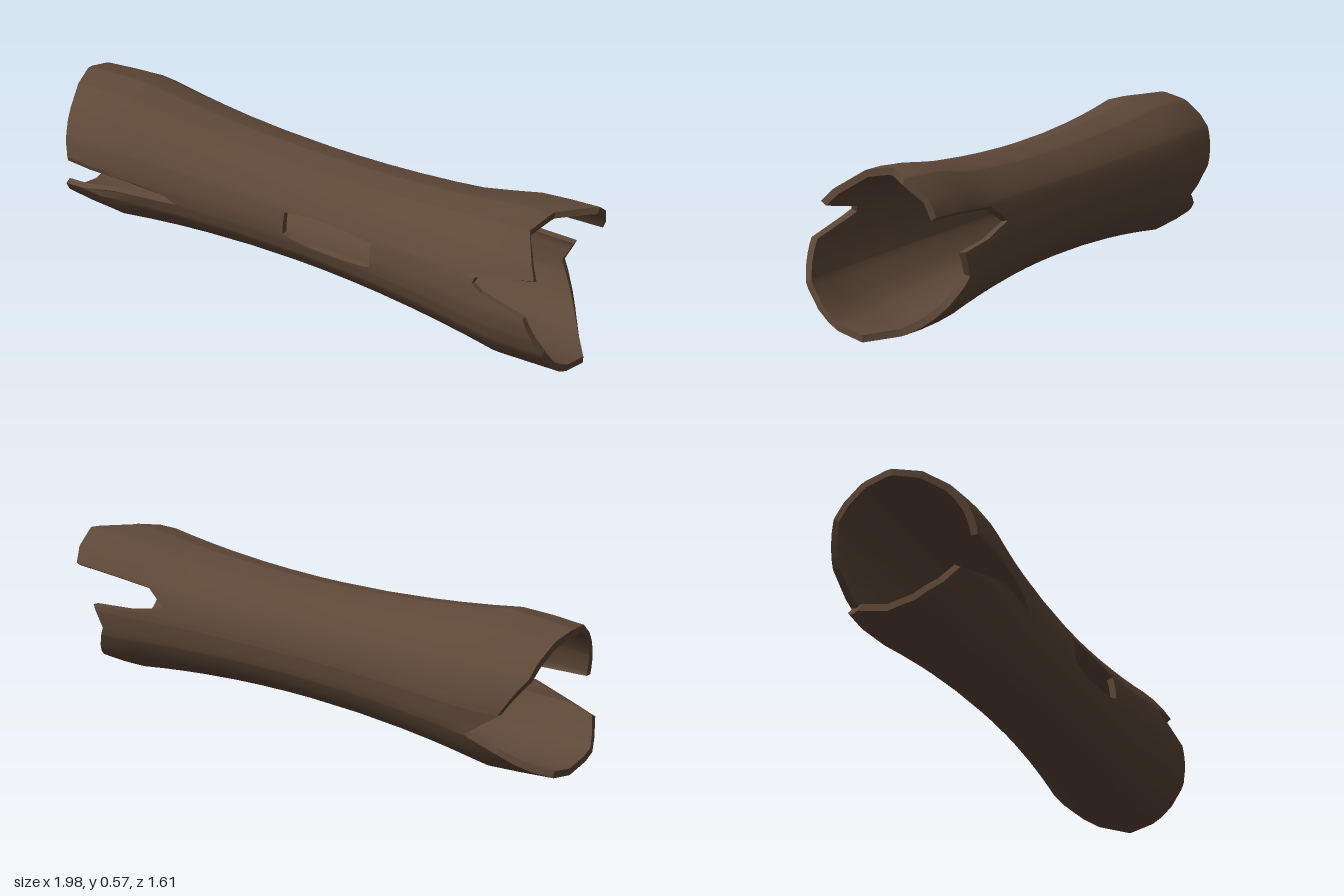
import * as THREE from 'three';

const PI = Math.PI;
const AXIS = new THREE.Vector3(0.82, 0, 0.572);   // along the log
const SIDE = new THREE.Vector3(-0.572, 0, 0.82);  // across the log
const CENTRE_Y = 0.283;
const WALL = 0.025;

// Torn ends: [angle around the log, distance along it]
const frontEnd = [
  [-PI / 2, 1.1], [-0.41, 1.06], [0.1, 0.99], [0.25, 0.82], [0.33, 0.78], [0.42, 0.79],
  [0.61, 1.0], [1.2, 0.91], [1.65, 0.94], [2.04, 1.05], [2.57, 1.03], [2.64, 0.66],
  [2.89, 0.57], [3.02, 0.74], [3.06, 0.91], [3.38, 0.87], [4.1, 0.99], [PI * 1.5, 1.1],
];
const backEnd = [
  [-PI / 2, -1.1], [-1.0, -1.1], [-0.5, -1.05], [-0.22, -0.78], [-0.18, -0.51], [-0.07, -0.55],
  [0.0, -0.7], [0.03, -1.0], [0.8, -1.04], [1.57, -1.1], [2.05, -1.09], [2.6, -1.07],
  [3.14, -0.98], [3.5, -0.84], [3.75, -0.95], [4.3, -1.1], [PI * 1.5, -1.1],
];

// Side hole, as ranges of angle and distance
const HOLE = { a0: -0.16, a1: 0.39, u0: -0.03, u1: 0.35 };

function sample(list, a) {
  for (let i = 1; i < list.length; i++) {
    const [a0, u0] = list[i - 1], [a1, u1] = list[i];
    if (a <= a1 + 1e-6) return u0 + (u1 - u0) * (a - a0) / (a1 - a0);
  }
  return list[list.length - 1][1];
}

// Waisted trunk that flares towards both ends
function radius(u, a) {
  const q = Math.min(Math.abs(u), 0.85);
  let r = 0.222 + 0.085 * q * q;
  r -= (u < 0 ? 0.08 : 0.04) * Math.max(0, Math.abs(u) - 0.85);
  r += 0.1 * Math.max(0, u - 0.6) * Math.exp(-(((a - 2.2) / 0.4) ** 2));
  return r;
}

function point(u, a, inset) {
  const r = radius(u, a) - inset;
  return new THREE.Vector3(0, CENTRE_Y + r * Math.sin(a), 0)
    .addScaledVector(AXIS, u)
    .addScaledVector(SIDE, r * Math.cos(a));
}

function makeGeometry(points, index) {
  const g = new THREE.BufferGeometry().setFromPoints(points);
  g.setIndex(index);
  g.computeVertexNormals();
  return g;
}

export function createModel() {
  const bark = new THREE.MeshStandardMaterial({ color: 0x5e4838 });
  bark.name = 'brown bark';

  // Columns around the trunk, one through every corner of the torn ends
  const angles = [HOLE.a0, HOLE.a1];
  for (const [a] of [...frontEnd, ...backEnd]) angles.push(a);
  for (let k = 0; k < 16; k++) angles.push(-PI / 2 + k * PI / 8);
  angles.sort((p, q) => p - q);
  const cols = angles.filter((a, i) => a < PI * 1.5 - 1e-4 && (i === 0 || a - angles[i - 1] > 1e-4));

  // Rows along the trunk: fixed in the middle, stretched to the torn ends
  const middle = [-0.45, -0.25, HOLE.u0, 0.08, 0.22, HOLE.u1, 0.5];
  const END = 5;
  const rows = (a) => {
    const list = [];
    const b = sample(backEnd, a), f = sample(frontEnd, a);
    for (let k = END; k > 0; k--) list.push(-0.45 + (b + 0.45) * k / END);
    list.push(...middle);
    for (let k = 1; k <= END; k++) list.push(0.5 + (f - 0.5) * k / END);
    return list;
  };

  const near = (p, q) => Math.abs(p - q) < 1e-6;
  const outer = [], inner = [];
  const nc = cols.length, nr = middle.length + 2 * END;
  for (const a of cols) {
    for (const u of rows(a)) {
      let uu = u, aa = a;
      // Clip the corners of the side hole
      const endA = near(a, HOLE.a0) || near(a, HOLE.a1);
      if (endA && (near(u, HOLE.u0) || near(u, HOLE.u1))) {
        uu += near(u, HOLE.u0) ? 0.025 : -0.025;
        aa += near(a, HOLE.a0) ? 0.05 : -0.05;
      }
      outer.push(point(uu, aa, 0));
      inner.push(point(uu, aa, WALL));
    }
  }

  const id = (c, r) => ((c + nc) % nc) * nr + r;
  const kept = (c, r) => {
    if (r < 0 || r >= nr - 1) return false;
    const a = cols[(c + nc) % nc], u = middle[r - END];
    const inHole = u !== undefined && u > HOLE.u0 - 1e-6 && u < HOLE.u1 - 1e-6 &&
      a > HOLE.a0 - 1e-6 && a < HOLE.a1 - 1e-6;
    return !inHole;
  };

  const outFaces = [], inFaces = [], rimPoints = [], rimFaces = [];
  const rim = (p, q) => {
    const n = rimPoints.length;
    rimPoints.push(outer[q], outer[p], inner[p], inner[q]);
    rimFaces.push(n, n + 1, n + 2, n, n + 2, n + 3);
  };
  for (let c = 0; c < nc; c++) {
    for (let r = 0; r < nr - 1; r++) {
      if (!kept(c, r)) continue;
      const p = id(c, r), q = id(c, r + 1), s = id(c + 1, r + 1), t = id(c + 1, r);
      outFaces.push(p, q, s, p, s, t);
      inFaces.push(p, s, q, p, t, s);
      // Close the wall thickness along every open edge
      if (!kept(c - 1, r)) rim(p, q);
      if (!kept(c, r + 1)) rim(q, s);
      if (!kept(c + 1, r)) rim(s, t);
      if (!kept(c, r - 1)) rim(t, p);
    }
  }

  const group = new THREE.Group();
  group.name = 'hollowLog';
  const add = (name, points, faces) => {
    const mesh = new THREE.Mesh(makeGeometry(points, faces), bark);
    mesh.name = name;
    group.add(mesh);
  };
  add('outerBark', outer, outFaces);
  add('innerWall', inner, inFaces);
  add('brokenEdges', rimPoints, rimFaces);
  return group;
}
